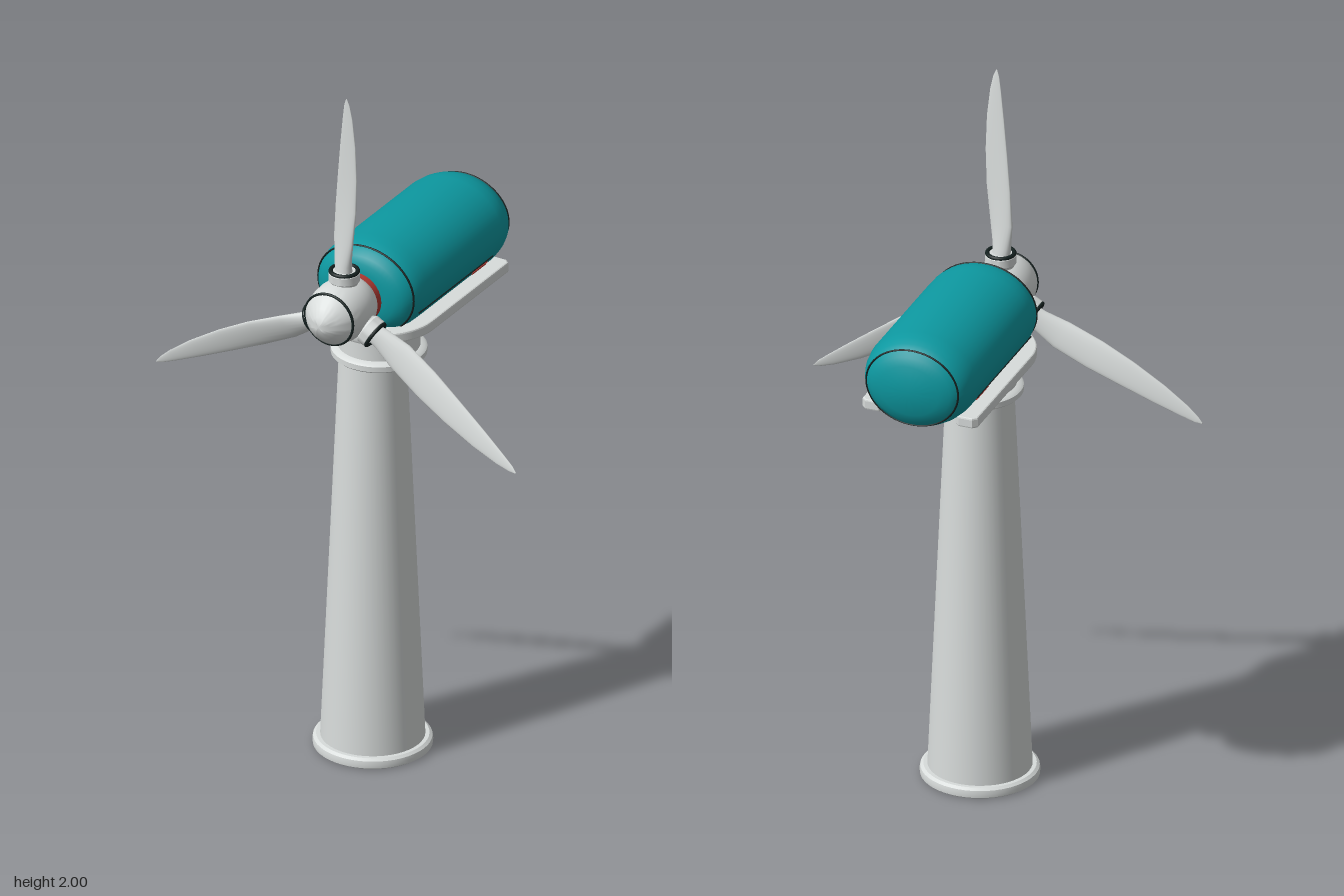
import * as THREE from 'three';
import { toCreasedNormals } from 'three/addons/utils/BufferGeometryUtils.js';

const mat = (name, color) => new THREE.MeshStandardMaterial({ name, color });
const CX = 0.006;            // shared centre line
const AXIS_Y = 1.362;        // rotor axis height
const ROTOR_Z = 0.264;       // blade plane

// Surface of revolution from [radius, height] points, listed upwards
function lathe(points, segments = 48) {
  const g = new THREE.LatheGeometry(points.map(([r, y]) => new THREE.Vector2(r, y)), segments);
  return toCreasedNormals(g, 0.6);
}

// Twisted blade lofted through lens-shaped sections
function bladeGeometry() {
  // radius, left x, right x, left z, right z, half thickness
  const stations = [
    [0.095, -0.026, 0.024, 0.258, 0.268, 0.022],
    [0.13, -0.031, 0.024, 0.253, 0.274, 0.017],
    [0.2, -0.038, 0.036, 0.25, 0.281, 0.011],
    [0.3, -0.031, 0.048, 0.255, 0.284, 0.008],
    [0.4, -0.019, 0.052, 0.264, 0.286, 0.006],
    [0.5, -0.006, 0.049, 0.273, 0.288, 0.005],
    [0.58, 0.006, 0.04, 0.281, 0.289, 0.003],
    [0.62, 0.013, 0.031, 0.285, 0.289, 0.002],
    [0.638, 0.02, 0.023, 0.288, 0.289, 0.001],
  ];
  const n = 20, pos = [], idx = [];
  for (const [r, xl, xr, zl, zr, t] of stations) {
    const len = Math.hypot(xr - xl, zr - zl);
    const ux = (xr - xl) / len, uz = (zr - zl) / len;
    for (let i = 0; i < n; i++) {
      const a = (i / n) * Math.PI * 2;
      const c = (Math.cos(a) * len) / 2, s = Math.sin(a) * t;
      pos.push((xl + xr) / 2 + ux * c - uz * s, r, (zl + zr) / 2 - ROTOR_Z + uz * c + ux * s);
    }
  }
  for (let k = 0; k < stations.length - 1; k++) {
    for (let i = 0; i < n; i++) {
      const a = k * n + i, b = k * n + ((i + 1) % n);
      idx.push(a, a + n, b, b, a + n, b + n);
    }
  }
  const top = (stations.length - 1) * n;
  for (let i = 1; i < n - 1; i++) idx.push(top, top + i + 1, top + i);
  const g = new THREE.BufferGeometry();
  g.setAttribute('position', new THREE.Float32BufferAttribute(pos, 3));
  g.setIndex(idx);
  g.computeVertexNormals();
  return g;
}

export function createModel() {
  const white = mat('offWhite', 0xd8dcdb);
  const teal = mat('teal', 0x0d98a0);
  const red = mat('red', 0xb03a32);
  const dark = mat('darkSeam', 0x14201f);

  const model = new THREE.Group();
  model.name = 'windTurbine';
  const add = (parent, name, geo, material, x = 0, y = 0, z = 0) => {
    const m = new THREE.Mesh(geo, material);
    m.name = name;
    m.position.set(x, y, z);
    parent.add(m);
    return m;
  };

  // Tower and rounded foot
  add(model, 'tower', lathe([[0, 0.01], [0.14, 0.01], [0.09, 1.16], [0, 1.16]]), white, CX, 0, 0.117);
  add(model, 'towerFoot', lathe([
    [0, 0], [0.152, 0], [0.159, 0.005], [0.16, 0.015], [0.158, 0.025], [0.15, 0.031], [0.139, 0.031],
  ]), white, CX, 0, 0.117);

  // Yaw bearing between tower and nacelle
  add(model, 'yawBearing', lathe([
    [0, 1.15], [0.122, 1.15], [0.128, 1.155], [0.128, 1.17], [0.122, 1.175], [0.11, 1.178],
    [0.11, 1.232], [0.128, 1.236], [0.132, 1.243], [0.132, 1.253], [0.127, 1.259], [0, 1.259],
  ]), white, CX, 0, 0.085);

  // Nacelle: rounded capsule with a slightly flattened section
  const nacelle = new THREE.Group();
  nacelle.name = 'nacelle';
  nacelle.position.set(CX, 1.37, 0);
  model.add(nacelle);
  const A = 0.155, B = 0.13;
  const alongZ = (points) => lathe(points).rotateX(Math.PI / 2);
  add(nacelle, 'nacelleBody', alongZ([
    [0, -0.397], [0.045, -0.394], [0.085, -0.386], [0.112, -0.377], [0.13, -0.364], [0.142, -0.345],
    [0.15, -0.322], [A, -0.29], [A, 0.09], [0.154, 0.12], [0.149, 0.145], [0.14, 0.163],
    [0.125, 0.177], [0.105, 0.186], [0.08, 0.19], [0, 0.191],
  ]), teal).scale.y = B / A;
  for (const [name, r, z] of [['rearSeam', 0.1305, -0.364], ['frontSeam', 0.147, 0.152]]) {
    add(nacelle, name, new THREE.TorusGeometry(r, 0.003, 6, 64), dark, 0, 0, z).scale.y = B / A;
  }

  // Side panel seams and small red plates
  for (const s of [-1, 1]) {
    const plate = (name, y, z, h, len, material) => {
      const x = A * Math.sqrt(1 - (y / B) ** 2);
      const p = add(nacelle, name, new THREE.BoxGeometry(0.005, h, len), material, s * x, y, z);
      p.rotation.z = s * Math.atan2(y / B ** 2, x / A ** 2);
    };
    plate('sideSeam', -0.05, -0.07, 0.003, 0.38, dark);
    plate('sideMark', -0.064, -0.205, 0.013, 0.07, red);
  }

  // Side rails, curving inward at the front
  for (const s of [-1, 1]) {
    const shape = new THREE.Shape();
    const arcZ = 0.08, outer = 0.16, inner = 0.105, end = 0.87;
    shape.moveTo(inner, -0.305);
    shape.lineTo(inner + 0.01, -0.315);
    shape.lineTo(outer - 0.01, -0.315);
    shape.lineTo(outer, -0.305);
    shape.lineTo(outer, arcZ);
    shape.absarc(0, arcZ, outer, 0, end, false);
    shape.absarc(0, arcZ, inner, end, 0, true);
    shape.closePath();
    const g = new THREE.ExtrudeGeometry(shape, {
      depth: 0.02, bevelEnabled: true, bevelThickness: 0.005, bevelSize: 0.004, bevelSegments: 2, curveSegments: 20,
    });
    g.rotateX(Math.PI / 2);
    if (s < 0) g.rotateZ(Math.PI).translate(0, -0.02, 0);
    add(model, s > 0 ? 'leftRail' : 'rightRail', g, white, CX, 1.28, 0);
  }

  // Rotor
  const rotor = new THREE.Group();
  rotor.name = 'rotor';
  rotor.position.set(CX, AXIS_Y, 0);
  model.add(rotor);
  const neck = new THREE.CylinderGeometry(0.07, 0.07, 0.05, 40).rotateX(Math.PI / 2);
  add(rotor, 'rotorNeck', neck, red, 0, 0, 0.187);
  add(rotor, 'hub', alongZ([
    [0, 0.2], [0.06, 0.2], [0.069, 0.208], [0.077, 0.225], [0.082, 0.25], [0.084, 0.275],
    [0.082, 0.305], [0.078, 0.327], [0.073, 0.342],
  ]), white);
  add(rotor, 'noseCone', alongZ([
    [0.073, 0.342], [0.061, 0.359], [0.045, 0.375], [0.026, 0.389], [0.012, 0.395], [0, 0.397],
  ]), white);
  add(rotor, 'noseSeam', new THREE.TorusGeometry(0.073, 0.004, 8, 48), dark, 0, 0, 0.342);

  // Three blades with sockets and dark collars
  const bladeGeo = bladeGeometry();
  const socketGeo = lathe([[0.036, 0.05], [0.037, 0.078], [0.042, 0.084], [0.042, 0.106], [0.038, 0.111], [0, 0.111]], 32);
  const collarGeo = new THREE.TorusGeometry(0.036, 0.006, 8, 32).rotateX(Math.PI / 2);
  for (let i = 0; i < 3; i++) {
    const arm = new THREE.Group();
    arm.name = 'bladeArm' + (i + 1);
    arm.position.z = ROTOR_Z;
    arm.rotation.z = (i * Math.PI * 2) / 3;
    rotor.add(arm);
    add(arm, 'bladeSocket', socketGeo, white);
    add(arm, 'bladeCollar', collarGeo, dark, 0, 0.11, 0);
    add(arm, 'blade', bladeGeo, white);
  }
  return model;
}
